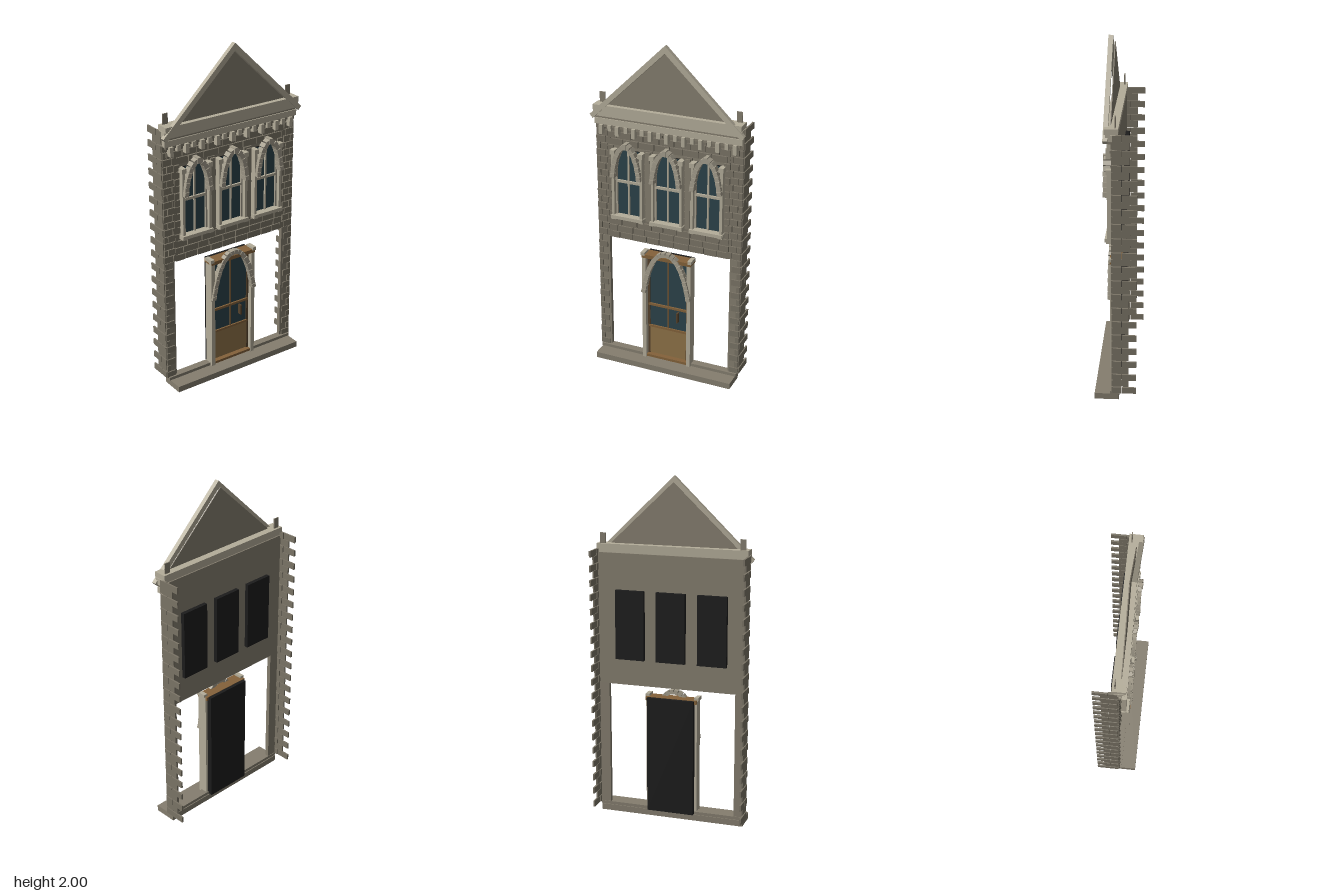
import * as THREE from 'three';

const mat = (name, color, side = THREE.FrontSide) => {
  const m = new THREE.MeshStandardMaterial({ color, side });
  m.name = name;
  return m;
};

export function createModel() {
  const stone = mat('stone', 0x857e6f);
  const brick = mat('brick', 0x7a7466);
  const trim = mat('pale trim', 0xb4ad9a);
  const vouss = mat('arch stone', 0xa59e8d);
  const wood = mat('wood', 0x84623a);
  const panelWood = mat('panel wood', 0x8f7348);
  const darkWood = mat('dark wood', 0x56422c);
  const glass = mat('glass', 0x2c434a);
  const black = mat('black backing', 0x1c1c1c);

  const root = new THREE.Group();
  const group = (name, parent = root) => {
    const g = new THREE.Group();
    g.name = name;
    parent.add(g);
    return g;
  };
  // box given by its limits on each axis
  const box = (name, m, x0, x1, y0, y1, z0, z1, parent = root) => {
    const mesh = new THREE.Mesh(new THREE.BoxGeometry(x1 - x0, y1 - y0, z1 - z0), m);
    mesh.position.set((x0 + x1) / 2, (y0 + y1) / 2, (z0 + z1) / 2);
    mesh.name = name;
    parent.add(mesh);
    return mesh;
  };
  // the same box on both sides of x = 0
  const pair = (name, m, x0, x1, y0, y1, z0, z1, parent = root) => {
    box(name, m, x0, x1, y0, y1, z0, z1, parent);
    box(name, m, -x1, -x0, y0, y1, z0, z1, parent);
  };
  // arch of wedge-like stones along a mirrored curve
  const arch = (parent, w, y0, cx, cy, top, n, size, z0, z1) => {
    const curve = new THREE.QuadraticBezierCurve(
      new THREE.Vector2(w, y0), new THREE.Vector2(cx, cy), new THREE.Vector2(0, top));
    const len = curve.getLength() / n;
    for (const s of [-1, 1]) for (let i = 0; i < n; i++) {
      const u = (i + 0.5) / n, p = curve.getPointAt(u), t = curve.getTangentAt(u);
      const v = new THREE.Mesh(new THREE.BoxGeometry(size, len * 0.93, z1 - z0 - (i % 2) * 0.004), vouss);
      v.position.set(s * p.x, p.y, (z0 + z1) / 2);
      v.rotation.z = s * Math.atan2(-t.x, t.y);
      v.name = 'archStone';
      parent.add(v);
    }
  };

  // Base
  box('plinth', stone, -0.435, 0.435, 0, 0.036, -0.02, 0.117);
  box('groundLedge', stone, -0.44, 0.44, 0.036, 0.054, -0.015, 0.03);

  // Backing wall and side piers
  box('upperWall', stone, -0.44, 0.44, 0.79, 1.56, -0.012, 0.009);
  pair('pier', stone, 0.38, 0.44, 0.036, 0.79, -0.012, 0.012);

  // Stone courses
  const C = 0.0415, gap = 0.005, winX = [-0.245, 0, 0.245];
  let seed = 7;
  const rnd = () => (seed = (seed * 16807) % 2147483647) / 2147483647;
  const bricks = group('wallBricks');
  for (let r = 0; r < 17; r++) {
    const y = 0.792 + r * C;
    const blocked = y + C > 0.935 && y < 1.34;
    // clear spans between the windows
    const spans = blocked
      ? [[-0.375, -0.335], [-0.15, -0.095], [0.095, 0.15], [0.335, 0.375]]
      : [[-0.375, 0.375]];
    for (const [a, b] of spans) {
      let x = a - (blocked ? 0 : (r % 2) * 0.035);
      while (x < b - 0.01) {
        const e = Math.min(b, x + 0.07 + rnd() * 0.03);
        const s = Math.max(a, x);
        box('brick', brick, s, e - gap, y, y + C - gap, 0.008, 0.018 + rnd() * 0.004, bricks);
        x = e;
      }
    }
  }

  // Corner stones on the front and on the sides
  const quoins = group('cornerStones');
  for (let r = 0; r < 37; r++) {
    const y = 0.05 + r * C, long = r % 2 === 0, top = y + C - gap;
    pair('frontQuoin', brick, long ? 0.392 : 0.425, 0.446, y, top, 0.008, 0.02, quoins);
    if (y > 0.79 && y < 1.47) pair('innerQuoin', brick, long ? 0.36 : 0.378, long ? 0.388 : 0.42, y, top, 0.008, 0.02, quoins);
    if (long) {
      pair('sideQuoin', brick, 0.438, 0.452, y, top, -0.034, 0.012, quoins);
      pair('sideQuoin', brick, 0.442, 0.452, y, top, -0.119, -0.036, quoins);
    } else {
      pair('sideQuoin', brick, 0.44, 0.449, y, top + 0.004, -0.076, 0.012, quoins);
    }
  }

  // Upper windows
  for (const cx of winX) {
    const w = group('window');
    w.position.x = cx;
    box('windowBacking', black, -0.086, 0.086, 0.945, 1.35, -0.035, 0.012, w);
    box('windowGlass', glass, -0.08, 0.08, 0.95, 1.345, 0.011, 0.016, w);
    box('mullion', trim, -0.005, 0.005, 0.95, 1.37, 0.014, 0.026, w);
    box('transom', trim, -0.08, 0.08, 1.15, 1.165, 0.014, 0.028, w);
    pair('sash', vouss, 0.07, 0.08, 0.95, 1.34, 0.012, 0.028, w);
    pair('jamb', trim, 0.08, 0.096, 0.94, 1.335, 0.008, 0.05, w);
    pair('jambCap', trim, 0.072, 0.102, 1.325, 1.352, 0.008, 0.056, w);
    pair('jambFoot', trim, 0.074, 0.102, 0.925, 0.95, 0.008, 0.056, w);
    box('sill', trim, -0.1, 0.1, 0.932, 0.952, 0.008, 0.062, w);
    arch(w, 0.083, 1.19, 0.066, 1.37, 1.388, 8, 0.026, 0.03, 0.073);
    box('keystone', vouss, -0.011, 0.011, 1.372, 1.405, 0.025, 0.076, w);
  }
  pair('pilaster', stone, 0.108, 0.138, 0.935, 1.36, 0.01, 0.03);

  // Door
  const door = group('door');
  box('doorBacking', black, -0.14, 0.14, 0.04, 0.73, -0.04, -0.005, door);
  box('doorLeaf', darkWood, -0.13, 0.13, 0.045, 0.715, -0.006, 0.012, door);
  box('doorGlass', glass, -0.12, 0.12, 0.255, 0.71, 0.01, 0.016, door);
  box('doorPanel', panelWood, -0.118, 0.118, 0.065, 0.245, 0.01, 0.022, door);
  box('lowerRail', wood, -0.124, 0.124, 0.243, 0.256, 0.01, 0.025, door);
  box('middleRail', wood, -0.124, 0.124, 0.39, 0.404, 0.01, 0.026, door);
  box('doorMullion', wood, -0.004, 0.004, 0.255, 0.715, 0.01, 0.022, door);
  pair('stile', darkWood, 0.116, 0.13, 0.05, 0.71, 0.01, 0.022, door);
  box('threshold', wood, -0.13, 0.13, 0.045, 0.06, 0.005, 0.045, door);
  box('handle', darkWood, 0.06, 0.07, 0.315, 0.378, 0.014, 0.042, door);
  pair('doorJamb', trim, 0.13, 0.154, 0.04, 0.73, -0.01, 0.05, door);
  pair('doorJambCap', trim, 0.136, 0.16, 0.725, 0.745, -0.005, 0.055, door);
  box('doorLintel', wood, -0.154, 0.154, 0.71, 0.732, -0.02, 0.052, door);
  arch(door, 0.143, 0.485, 0.1, 0.755, 0.757, 13, 0.026, 0.03, 0.064);

  // Cornice with corbels
  const cornice = group('cornice');
  for (let i = -8; i <= 8; i++) {
    const x = i * 0.0505, tall = i % 2 === 0;
    box('corbel', trim, x - 0.011, x + 0.011, tall ? 1.437 : 1.458, 1.492, 0.008, tall ? 0.05 : 0.042, cornice);
  }
  box('corbelBand', stone, -0.43, 0.43, 1.475, 1.497, 0.005, 0.028, cornice);
  box('lowerMoulding', trim, -0.445, 0.445, 1.495, 1.53, 0, 0.042, cornice);
  box('frieze', stone, -0.442, 0.442, 1.53, 1.548, -0.012, 0.036, cornice);
  box('upperMoulding', trim, -0.448, 0.448, 1.545, 1.582, -0.005, 0.05, cornice);
  box('eavesSlab', trim, -0.445, 0.445, 1.582, 1.612, -0.018, 0.058, cornice);
  pair('cornerPost', stone, 0.395, 0.428, 1.58, 1.672, -0.004, 0.002, cornice);

  // Gable panel and sloping boards
  const tri = new THREE.Shape([[-0.385, 1.6], [0.385, 1.6], [0, 1.965]].map(p => new THREE.Vector2(...p)));
  const gable = new THREE.Mesh(new THREE.ExtrudeGeometry(tri, { depth: 0.005, bevelEnabled: false }), stone);
  gable.position.z = 0.024;
  gable.name = 'gablePanel';
  root.add(gable);
  for (const s of [-1, 1]) {
    const pts = [[0, 2], [s * 0.463, 1.553], [s * 0.444, 1.532], [0, 1.957]];
    const board = new THREE.Shape(pts.map(p => new THREE.Vector2(...p)));
    const m = new THREE.Mesh(new THREE.ExtrudeGeometry(board, { depth: 0.026, bevelEnabled: false }), trim);
    m.position.z = 0.037;
    m.name = 'gableBoard';
    root.add(m);
  }
  return root;
}
